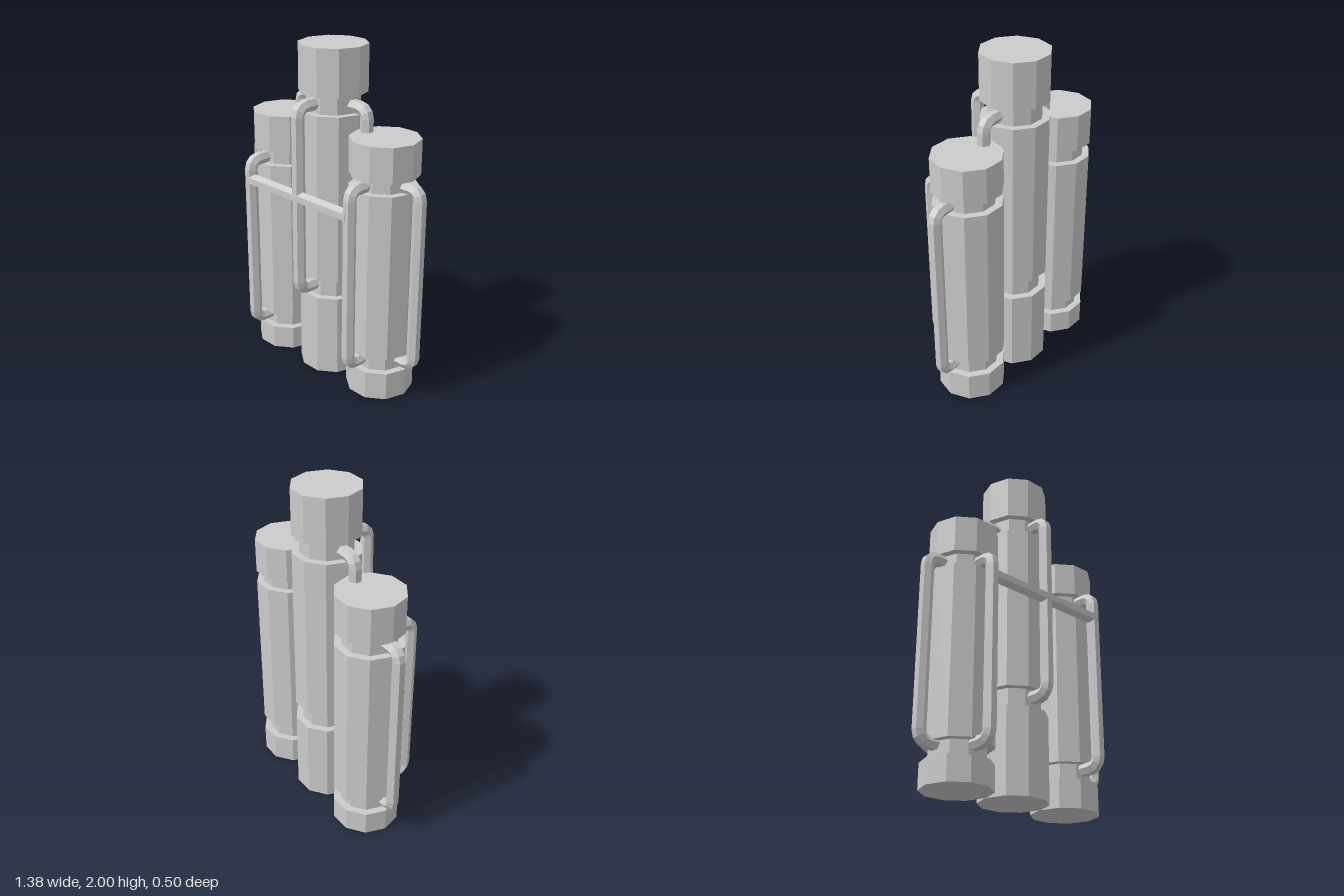
import * as THREE from 'three';

const mat = new THREE.MeshStandardMaterial({ color: 0xcccccc, flatShading: true });
const R = 0.2, NECK = 0.157, PIPE = 0.038, Z = -0.06;

// Ten-sided column: base, neck, body, neck, cap
function column(name, x, [base, body, bodyTop, cap, top]) {
  const profile = [
    [0, 0], [R, 0], [R, base], [NECK, base], [NECK, body], [R, body],
    [R, bodyTop], [NECK, bodyTop], [NECK, cap], [R, cap], [R, top], [0, top],
  ].map(([r, y]) => new THREE.Vector2(r, y));
  const mesh = new THREE.Mesh(new THREE.LatheGeometry(profile, 10, Math.PI / 2), mat);
  mesh.name = name;
  mesh.position.set(x, 0, Z);
  return mesh;
}

// Replaces each inner corner of a path by a short arc; returns [x, y, heading]
function roundPath(corners, radius = 0.052, steps = 3) {
  const heading = (a, b) => Math.atan2(b[1] - a[1], b[0] - a[0]);
  const n = corners.length - 1;
  const out = [[...corners[0], heading(corners[0], corners[1])]];
  for (let i = 1; i < n; i++) {
    const [x, y] = corners[i];
    const h0 = heading(corners[i - 1], corners[i]);
    const h1 = heading(corners[i], corners[i + 1]);
    const turn = Math.atan2(Math.sin(h1 - h0), Math.cos(h1 - h0));
    const s = Math.sign(turn);
    const cut = radius * Math.tan(Math.abs(turn) / 2);
    const cx = x - cut * Math.cos(h0) - s * radius * Math.sin(h0);
    const cy = y - cut * Math.sin(h0) + s * radius * Math.cos(h0);
    for (let k = 0; k <= steps; k++) {
      const h = h0 + turn * k / steps;
      out.push([cx + s * radius * Math.sin(h), cy - s * radius * Math.cos(h), h]);
    }
  }
  out.push([...corners[n], heading(corners[n - 1], corners[n])]);
  return out;
}

// Six-sided pipe swept along a flat path, turned about the column's axis
function pipe(name, corners, x, angle) {
  const path = roundPath(corners);
  const pos = [], index = [];
  path.forEach(([px, py, h], i) => {
    for (let j = 0; j < 6; j++) {
      const v = Math.PI / 6 + j * Math.PI / 3;
      const c = PIPE * Math.cos(v);
      pos.push(px - c * Math.sin(h), py + c * Math.cos(h), PIPE * Math.sin(v));
      if (i === path.length - 1) continue;
      const a = i * 6 + j, b = i * 6 + (j + 1) % 6;
      index.push(a, b, b + 6, a, b + 6, a + 6);
    }
  });
  const geo = new THREE.BufferGeometry();
  geo.setAttribute('position', new THREE.Float32BufferAttribute(pos, 3));
  geo.setIndex(index);
  geo.computeVertexNormals();
  const mesh = new THREE.Mesh(geo, mat);
  mesh.name = name;
  mesh.position.set(x, 0, Z);
  mesh.rotation.y = angle;
  return mesh;
}

// Bracket-shaped path leaving one neck and returning to the other
const bracket = (reach, y0, y1) => [[0.12, y0], [reach, y0], [reach, y1], [0.12, y1]];

export function createModel() {
  const model = new THREE.Group();
  model.name = 'columnCluster';

  // Columns
  model.add(
    column('centreColumn', 0, [0.505, 0.62, 1.625, 1.73, 2]),
    column('rightColumn', -0.4, [0.145, 0.235, 1.24, 1.325, 1.545]),
    column('leftColumn', 0.4, [0.17, 0.265, 1.27, 1.34, 1.545]),
  );

  // Pipes on the front of each column
  const front = -Math.PI / 2;
  model.add(
    pipe('centreFrontPipe', bracket(0.272, 0.573, 1.68), 0, front),
    pipe('rightFrontPipe', bracket(0.272, 0.215, 1.275), -0.415, front),
    pipe('leftFrontPipe', bracket(0.272, 0.235, 1.305), 0.4, front),
  );

  // Outer side pipes and the elbows joining the centre column to its neighbours
  for (const [side, sign, angle] of [['left', 1, 0], ['right', -1, Math.PI]]) {
    model.add(
      pipe(side + 'OuterPipe', bracket(0.256, 0.222, 1.297), 0.4 * sign, angle),
      pipe(side + 'ElbowPipe', [[0.1, 1.67], [0.262, 1.67], [0.262, 1.5]], 0, angle),
    );
  }

  // Crossbar linking the front pipes
  const bar = new THREE.Mesh(new THREE.CylinderGeometry(PIPE, PIPE, 0.81, 6), mat);
  bar.name = 'crossbar';
  bar.geometry.rotateY(Math.PI / 2);
  bar.rotation.z = Math.PI / 2;
  bar.position.set(-0.008, 1.16, 0.214);
  model.add(bar);

  return model;
}
